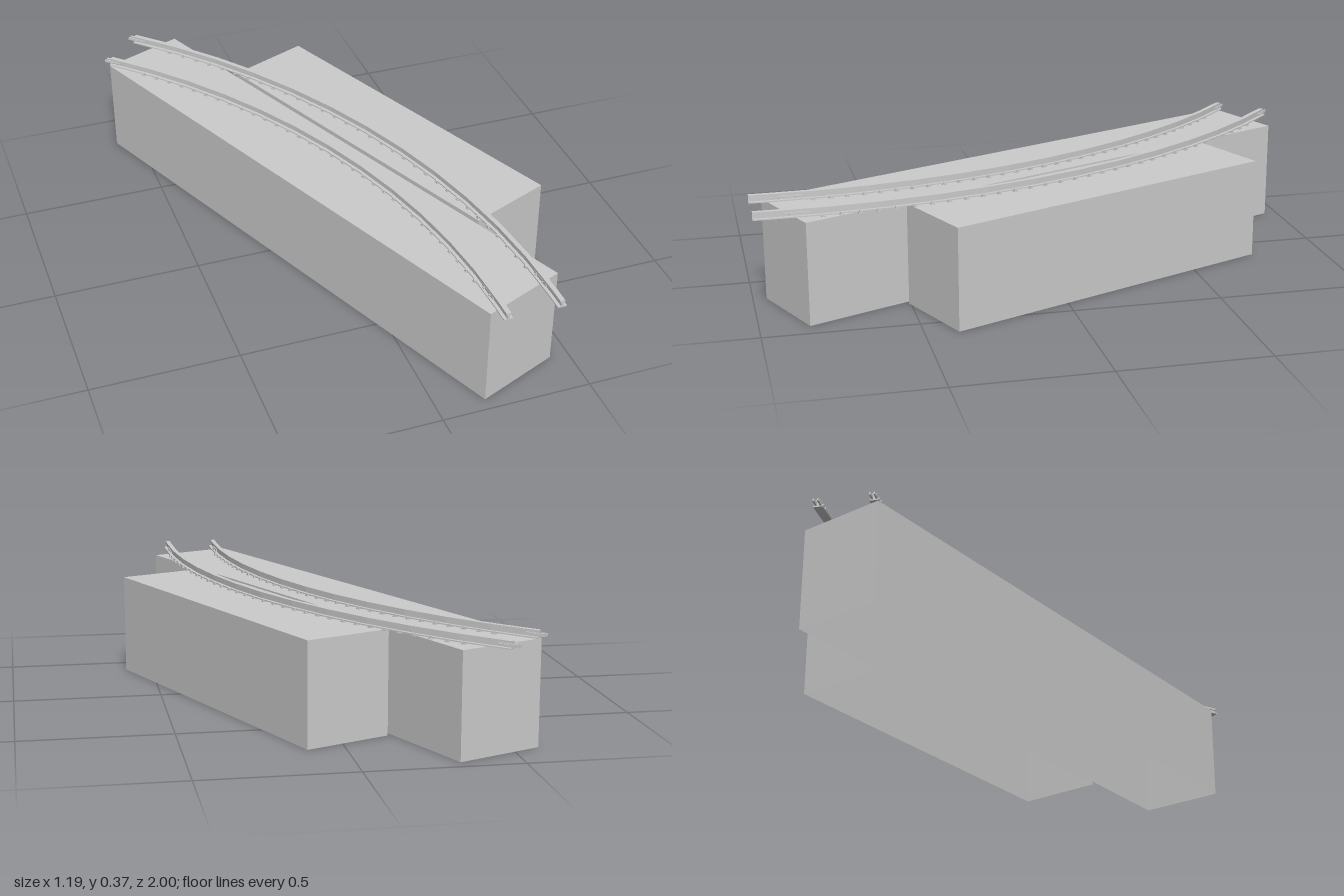
import * as THREE from 'three';

const material = new THREE.MeshStandardMaterial({
  color: 0xcccccc, flatShading: true, side: THREE.DoubleSide,
});
const TOP = 0.343;                       // top of the two blocks
const CENTRE = { x: -2.263, z: 0.94 };   // common centre of both rail curves
const END = 0.815;                       // angle swept by the rails
const TILT = Math.atan2(0.383, 0.924);

function add(parent, geometry, name, x = 0, y = 0, z = 0, turn = 0) {
  const mesh = new THREE.Mesh(geometry, material);
  mesh.name = name;
  mesh.position.set(x, y, z);
  mesh.rotation.y = turn;
  parent.add(mesh);
  return mesh;
}

// Hollow block: four walls and a top, open underneath
function openBlock(width, length) {
  const geometry = new THREE.BoxGeometry(width, TOP, length);
  const index = Array.from(geometry.index.array);
  index.splice(18, 6);                   // drop the bottom face
  geometry.setIndex(index);
  geometry.clearGroups();
  return geometry;
}

// Plan position on a rail of radius r; negative angles run straight to the front
function at(r, a) {
  if (a < 0) return new THREE.Vector2(CENTRE.x + r, CENTRE.z - a * r);
  return new THREE.Vector2(CENTRE.x + r * Math.cos(a), CENTRE.z - r * Math.sin(a));
}

// Curved strip of constant width between two heights
function strip(r, offset, width, y0, y1, a0, a1, steps) {
  const outer = [], inner = [];
  const stations = a0 < 0 ? [a0] : [];
  const start = Math.max(a0, 0);
  for (let i = 0; i <= steps; i++) stations.push(start + (a1 - start) * i / steps);
  for (const a of stations) {
    const p = at(r, a), t = Math.max(a, 0);
    const n = new THREE.Vector2(Math.cos(t), -Math.sin(t));
    outer.push(p.clone().addScaledVector(n, offset + width / 2));
    inner.push(p.clone().addScaledVector(n, offset - width / 2));
  }
  const shape = new THREE.Shape([...outer, ...inner.reverse()]);
  const geometry = new THREE.ExtrudeGeometry(shape, { depth: y1 - y0, bevelEnabled: false });
  geometry.rotateX(Math.PI / 2);
  geometry.translate(0, y1, 0);
  return geometry;
}

function makeRail(r, name) {
  const rail = new THREE.Group();
  rail.name = name;
  const front = -(1 - CENTRE.z) / r;

  // I-shaped running rail
  add(rail, strip(r, 0, 0.03, 0.346, 0.35, front, END, 12), 'railFoot');
  add(rail, strip(r, 0, 0.008, 0.35, 0.363, front, END, 12), 'railWeb');
  add(rail, strip(r, 0, 0.016, 0.363, 0.371, front, END, 12), 'railHead');

  // Joint bars and bolts at both ends, the rear pair reaching past the rail
  for (const side of [-1, 1]) {
    add(rail, strip(r, side * 0.007, 0.005, 0.353, 0.362, END - 0.018, END + 0.009, 1), 'jointBar');
    add(rail, strip(r, side * 0.007, 0.005, 0.353, 0.362, 0.015, 0.045, 1), 'jointBar');
    for (const a of [0.022, 0.038, END - 0.013, END - 0.005]) {
      const p = at(r, a);
      add(rail, new THREE.BoxGeometry(0.006, 0.005, 0.005), 'jointBolt',
        p.x + side * 0.012 * Math.cos(a), 0.3575, p.y - side * 0.012 * Math.sin(a), a);
    }
  }

  // Thin bearing plates with a clip on each side
  const count = 32;
  const plate = new THREE.BoxGeometry(0.042, 0.003, 0.014);
  const clip = new THREE.BoxGeometry(0.006, 0.006, 0.008);
  for (let i = 0; i < count; i++) {
    const a = 0.06 + (END - 0.12) * i / (count - 1);
    const p = at(r, a);
    add(rail, plate, 'bearingPlate', p.x, TOP + 0.0015, p.y, a);
    for (const side of [-1, 1]) {
      add(rail, clip, 'railClip', p.x + side * 0.017 * Math.cos(a), 0.349,
        p.y - side * 0.017 * Math.sin(a), a);
    }
  }
  return rail;
}

export function createModel() {
  const model = new THREE.Group();
  model.name = 'curvedTrackOnBlocks';

  // Two slanting support blocks with a narrow gap between them
  add(model, openBlock(0.3, 1.945), 'longBlock', -0.074, TOP / 2, 0, TILT);
  add(model, openBlock(0.299, 1.234), 'shortBlock', 0.217, TOP / 2, -0.121, TILT);

  model.add(makeRail(2.46, 'innerRail'), makeRail(2.638, 'outerRail'));
  return model;
}
